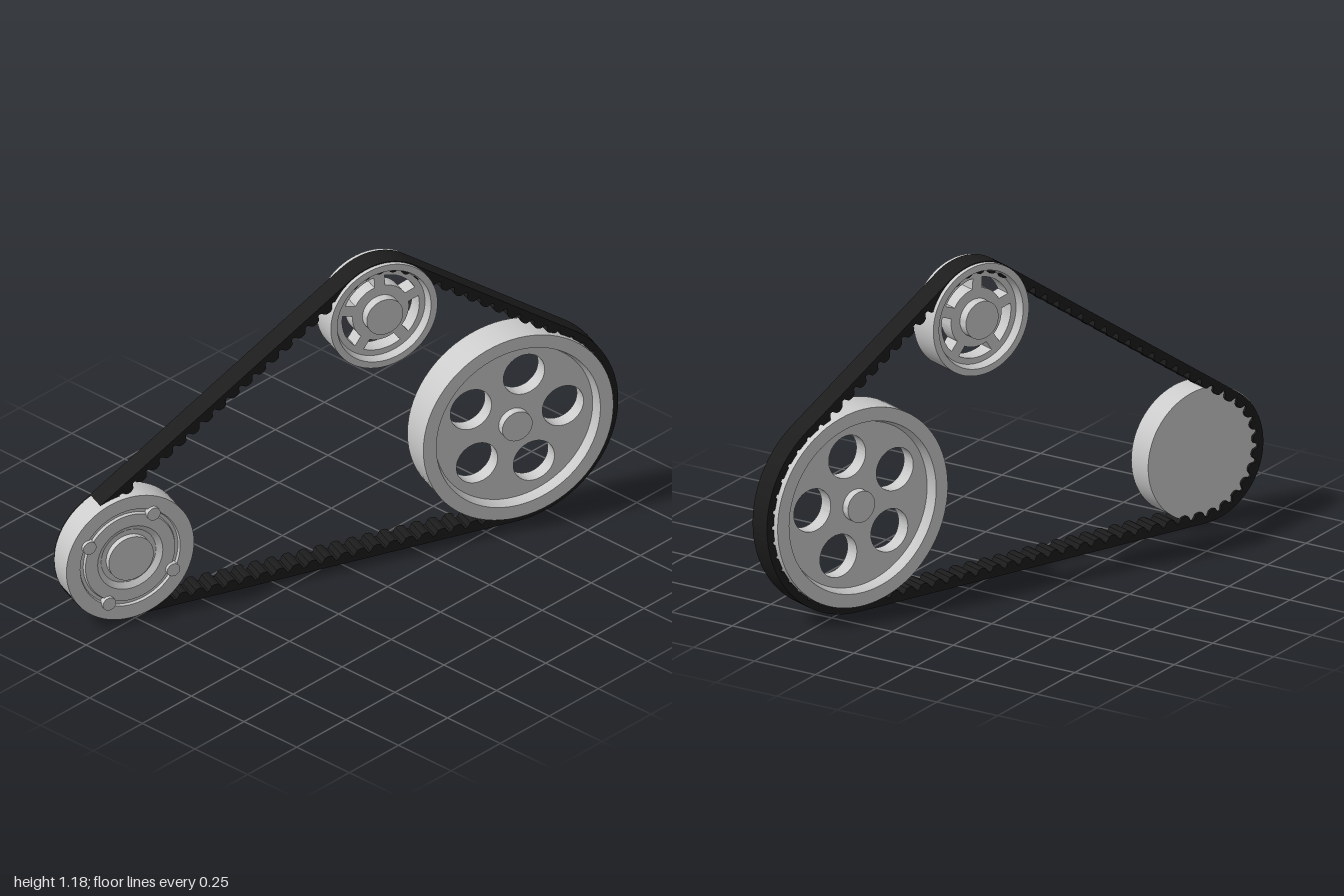
import * as THREE from 'three';
import { toCreasedNormals } from 'three/addons/utils/BufferGeometryUtils.js';

const metal = new THREE.MeshStandardMaterial({ color: 0xcccccc });
const rubber = new THREE.MeshStandardMaterial({ color: 0x1c1c1c });
const TILT = 0.38; // turn of the whole drive about the vertical axis
const BELT_Z = -0.013;

function addMesh(parent, name, geometry, material = metal) {
  const mesh = new THREE.Mesh(toCreasedNormals(geometry, 0.5), material);
  mesh.name = name;
  parent.add(mesh);
  return mesh;
}

// Turned part: [radius, z] profile, listed from the back round the outside to the front
function turned(profile, segments = 72) {
  const points = profile.map(([r, z]) => new THREE.Vector2(r, z));
  return new THREE.LatheGeometry(points, segments).rotateX(Math.PI / 2);
}

const disc = (r, depth, segments = 48) => new THREE.CylinderGeometry(r, r, depth, segments).rotateX(Math.PI / 2);

function plate(shape, depth) {
  const geometry = new THREE.ExtrudeGeometry(shape, { depth, bevelEnabled: false, curveSegments: 40 });
  return geometry.translate(0, 0, -depth / 2);
}

function circleShape(r) {
  const shape = new THREE.Shape();
  shape.absarc(0, 0, r, 0, Math.PI * 2, false);
  return shape;
}

// Rim with chamfered-in inner lips
function rim(outer, inner, depth) {
  const h = depth / 2;
  return turned([[inner, -h], [outer, -h], [outer, h], [inner, h], [inner - 0.012, h - 0.035],
    [inner - 0.012, -h + 0.035], [inner, -h]]);
}

function wheelGroup(parent, name, x, y, z) {
  const group = new THREE.Group();
  group.name = name;
  group.position.set(x, y, z);
  parent.add(group);
  return group;
}

// Large wheel with five round holes
function buildLargePulley(parent) {
  const group = wheelGroup(parent, 'largePulley', 0.679, 0.395, BELT_Z);
  addMesh(group, 'largeRim', rim(0.365, 0.315, 0.13));
  const web = circleShape(0.31);
  for (let i = 0; i < 5; i++) {
    const a = THREE.MathUtils.degToRad(78 + 72 * i);
    const hole = new THREE.Path();
    hole.absarc(0.19 * Math.cos(a), 0.19 * Math.sin(a), 0.079, 0, Math.PI * 2, true);
    web.holes.push(hole);
  }
  addMesh(group, 'largeWeb', plate(web, 0.055));
  addMesh(group, 'largeHub', disc(0.058, 0.115));
}

// Small upper wheel with five curved slots
function buildIdlerPulley(parent) {
  const group = wheelGroup(parent, 'idlerPulley', 0.167, 0.977, BELT_Z);
  addMesh(group, 'idlerRim', rim(0.205, 0.18, 0.117));
  const web = circleShape(0.175);
  const [inner, outer, halfSpoke] = [0.108, 0.148, 0.02];
  for (let i = 0; i < 5; i++) {
    const a0 = THREE.MathUtils.degToRad(92 + 72 * i);
    const a1 = a0 + Math.PI * 0.4;
    const dOut = Math.asin(halfSpoke / outer);
    const dIn = Math.asin(halfSpoke / inner);
    const slot = new THREE.Path();
    slot.absarc(0, 0, outer, a0 + dOut, a1 - dOut, false);
    slot.absarc(0, 0, inner, a1 - dIn, a0 + dIn, true);
    slot.closePath();
    web.holes.push(slot);
  }
  addMesh(group, 'idlerWeb', plate(web, 0.06));
  addMesh(group, 'idlerHub', disc(0.07, 0.13));
}

// Solid wheel with a stepped front, four bolts and a plain back
function buildSolidPulley(parent) {
  const group = wheelGroup(parent, 'solidPulley', -0.812, 0.255, 0.004);
  addMesh(group, 'solidBody', turned([[0, -0.05], [0.245, -0.05], [0.245, 0.05], [0.192, 0.05], [0.188, 0.04],
    [0.176, 0.04], [0.172, 0.05], [0.125, 0.05], [0.105, 0.036], [0.086, 0.036], [0.086, 0.058], [0, 0.058]]));
  for (let i = 0; i < 4; i++) {
    const a = THREE.MathUtils.degToRad(62 + 90 * i);
    addMesh(group, 'bolt', disc(0.025, 0.03, 24)).position.set(0.182 * Math.cos(a), 0.182 * Math.sin(a), 0.048);
  }
}

// Toothed belt: the outline is the taut loop round three circles
function buildBelt(parent) {
  const circles = [[-0.804, 0.25, 0.25], [0.679, 0.395, 0.394], [0.167, 0.977, 0.208]];
  // Angle of the outward normal on each straight run
  const normals = circles.map(([x, y, r], i) => {
    const [nx, ny, nr] = circles[(i + 1) % 3];
    return Math.atan2(ny - y, nx - x) - Math.acos((r - nr) / Math.hypot(nx - x, ny - y));
  });
  const path = new THREE.Path();
  circles.forEach(([x, y, r], i) => path.absarc(x, y, r, normals[(i + 2) % 3], normals[i], false));
  path.closePath();

  const teeth = Math.round(path.getLength() / 0.062);
  const profile = [0.022, 0.022, 0.04, 0.044, 0.044, 0.04]; // belt thickness through one tooth
  const count = teeth * profile.length;
  const outer = [];
  const inner = [];
  for (let i = 0; i < count; i++) {
    const p = path.getPoint(i / count);
    const t = path.getTangent(i / count);
    const depth = profile[i % profile.length];
    outer.push(p);
    inner.push(new THREE.Vector2(p.x - t.y * depth, p.y + t.x * depth));
  }
  const shape = new THREE.Shape(outer);
  shape.holes.push(new THREE.Path(inner.reverse()));
  addMesh(parent, 'toothedBelt', plate(shape, 0.085), rubber).position.z = BELT_Z;
}

export function createModel() {
  const model = new THREE.Group();
  model.name = 'beltDrive';
  const drive = new THREE.Group();
  drive.name = 'drive';
  drive.rotation.y = -TILT;
  model.add(drive);
  buildLargePulley(drive);
  buildIdlerPulley(drive);
  buildSolidPulley(drive);
  buildBelt(drive);
  return model;
}
